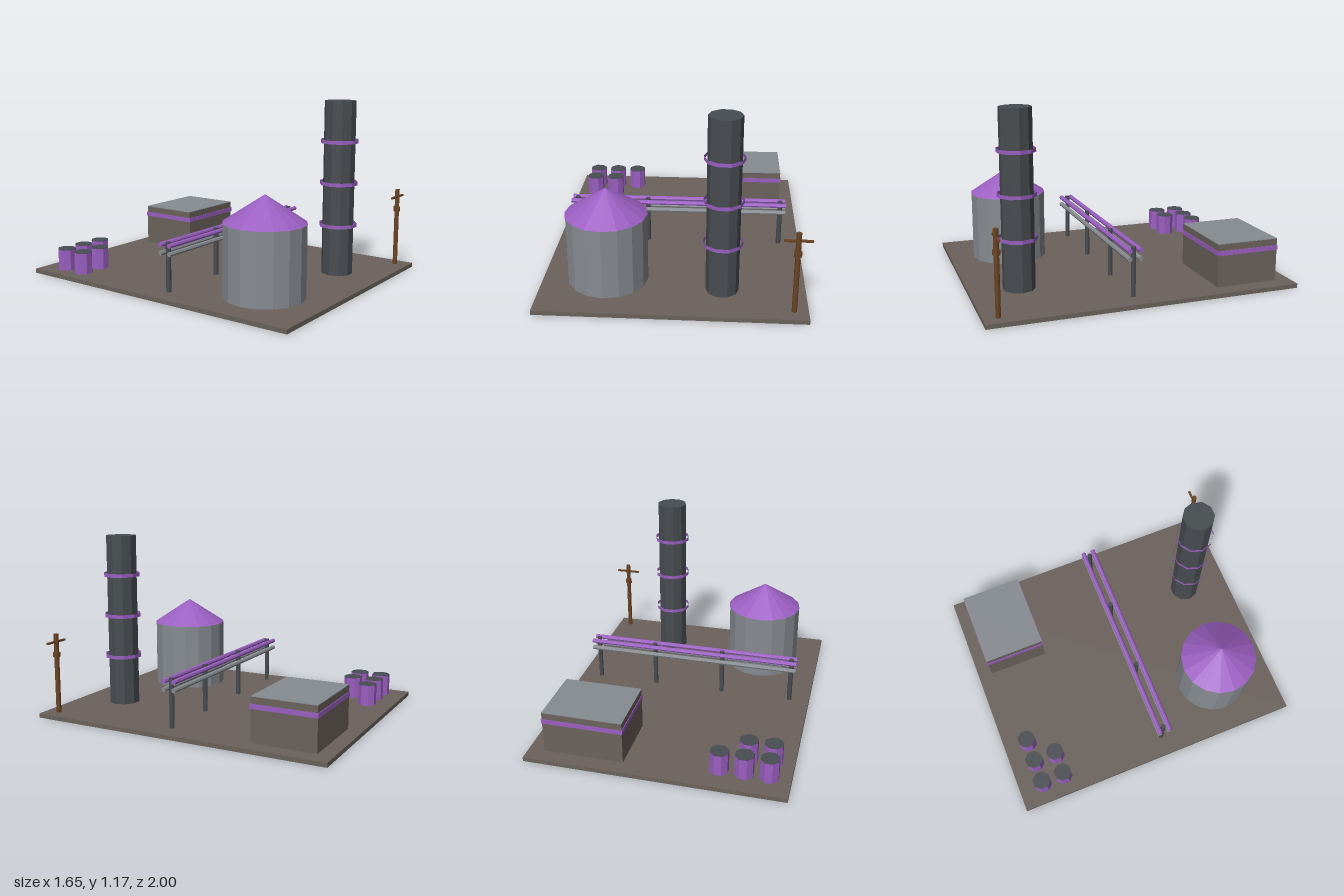
import * as THREE from 'three';

const mat = (name, color, extra = {}) => {
  const m = new THREE.MeshStandardMaterial({ color, flatShading: true, ...extra });
  m.name = name;
  return m;
};

export function createModel() {
  const root = new THREE.Group();
  root.name = 'factoryYard';
  const ground = mat('earthBrown', 0x6b625c);
  const steel = mat('steelGrey', 0x878c91);
  const dark = mat('darkIron', 0x484d51);
  const purple = mat('purplePaint', 0x9b5fc2);
  purple.side = THREE.DoubleSide; // the chimney hoops are open bands
  const wood = mat('woodBrown', 0x6b4423);
  const floor = 0.028;

  const add = (parent, name, geometry, material, x, y, z) => {
    const mesh = new THREE.Mesh(geometry, material);
    mesh.name = name;
    mesh.position.set(x, y, z);
    parent.add(mesh);
    return mesh;
  };
  const group = (name, x = 0, z = 0) => {
    const g = new THREE.Group();
    g.name = name;
    g.position.set(x, 0, z);
    root.add(g);
    return g;
  };
  // Upright prism between two heights, turned by an angle
  const column = (parent, name, r, y0, y1, sides, material, x = 0, z = 0, turn = 0, open = false) => {
    const geo = new THREE.CylinderGeometry(r, r, y1 - y0, sides, 1, open).rotateY(turn);
    return add(parent, name, geo, material, x, (y0 + y1) / 2, z);
  };
  const box = (parent, name, w, h, d, material, x, y, z) =>
    add(parent, name, new THREE.BoxGeometry(w, h, d), material, x, y, z);

  // Ground slab
  box(root, 'groundSlab', 1.65, floor, 2, ground, 0, floor / 2, 0);

  // Storage tank with conical roof
  const tank = group('storageTank', -0.415, 0.585);
  column(tank, 'tankBody', 0.255, floor, 0.482, 16, steel);
  add(tank, 'tankRoof', new THREE.ConeGeometry(0.257, 0.17, 16), purple, 0, 0.567, 0);

  // Chimney with three open hoops
  const chimney = group('chimney', 0.308, 0.685);
  column(chimney, 'chimneyStack', 0.103, floor, 1.17, 10, dark, 0, 0, Math.PI / 2);
  for (const y of [0.357, 0.634, 0.908]) {
    column(chimney, 'chimneyHoop', 0.123, y - 0.012, y + 0.012, 10, purple, 0, 0, Math.PI / 2, true);
  }

  // Shed with painted band and roof sheet
  const shed = group('shed', 0.462, -0.694);
  box(shed, 'shedWalls', 0.516, 0.278, 0.414, ground, 0, floor + 0.139, 0);
  box(shed, 'shedBand', 0.524, 0.03, 0.422, purple, 0, 0.249, 0);
  box(shed, 'shedRoof', 0.516, 0.004, 0.414, steel, 0, 0.308, 0);

  // Pipe rack: four posts carrying two pairs of pipes
  const rack = group('pipeRack', 0, 0.067);
  for (const x of [-0.69, -0.209, 0.272, 0.686]) {
    column(rack, 'rackPost', 0.016, floor, 0.343, 8, dark, x);
  }
  for (const side of [-1, 1]) {
    for (const [name, y, m] of [['upperPipe', 0.327, purple], ['lowerPipe', 0.275, steel]]) {
      const pipe = new THREE.CylinderGeometry(0.0155, 0.0155, 1.45, 8).rotateZ(Math.PI / 2);
      add(rack, name, pipe, m, -0.002, y, side * 0.035);
    }
  }

  // Barrels in two rows
  const barrels = group('barrels');
  for (let i = 0; i < 5; i++) {
    const x = -0.692 + (i % 3) * 0.154;
    const z = i < 3 ? -0.83 : -0.676;
    column(barrels, 'barrelBody', 0.061, floor, 0.168, 8, purple, x, z, Math.PI / 8);
    column(barrels, 'barrelLid', 0.061, 0.168, 0.171, 8, dark, x, z, Math.PI / 8);
  }

  // Utility pole with crossarm and collar
  const pole = group('utilityPole', 0.738, 0.909);
  column(pole, 'polePost', 0.016, floor, 0.552, 8, wood);
  box(pole, 'poleCrossarm', 0.17, 0.012, 0.014, wood, 0, 0.5, 0);
  column(pole, 'poleCollar', 0.024, 0.4, 0.43, 8, wood);

  return root;
}
